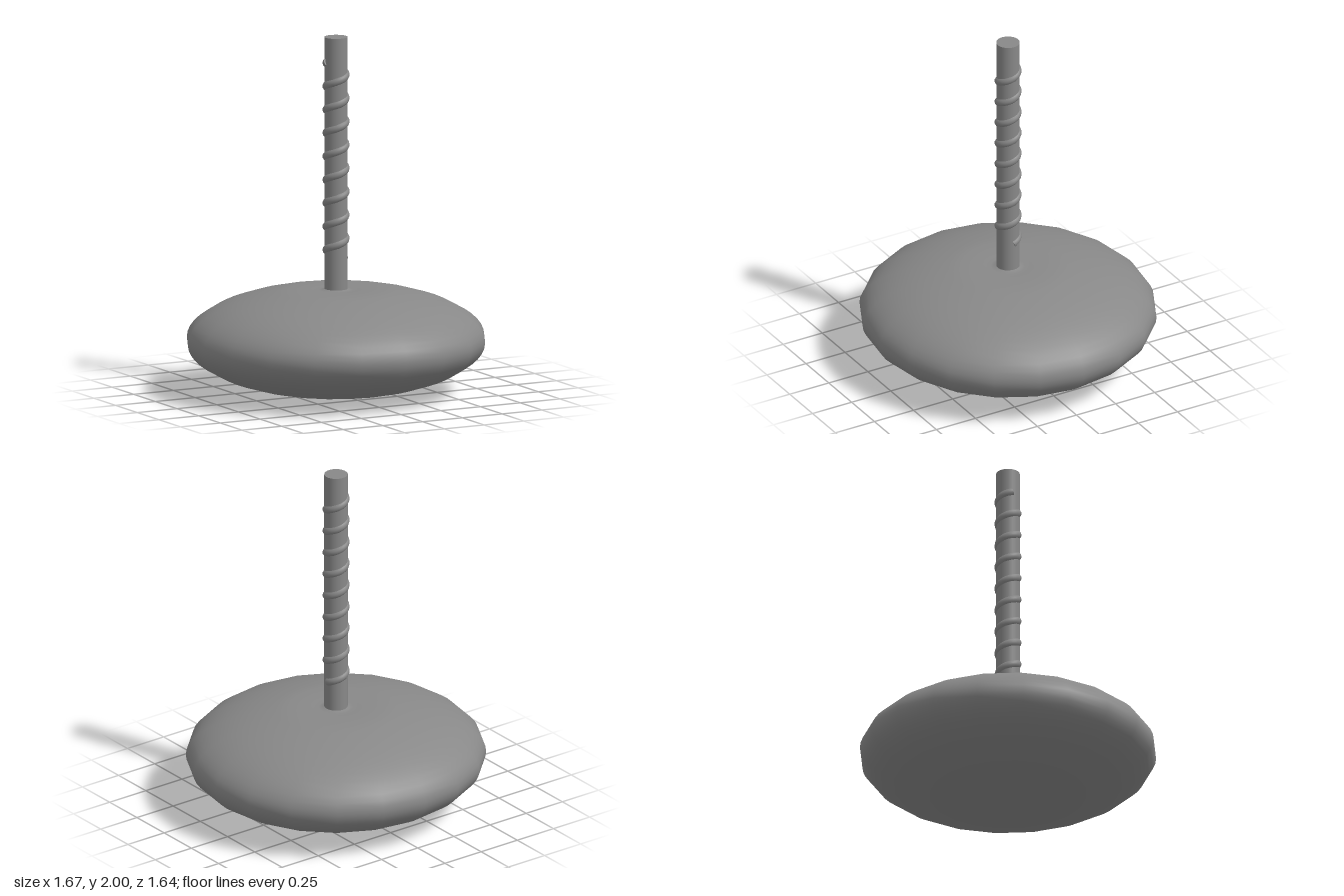
import * as THREE from 'three';

const ROD_RADIUS = 0.065;

// Rising spiral that starts at +x and ends at -x
class Helix extends THREE.Curve {
  constructor(radius, y0, y1, turns) {
    super();
    Object.assign(this, { radius, y0, y1, turns });
  }
  getPoint(t, target = new THREE.Vector3()) {
    const a = t * this.turns * Math.PI * 2;
    return target.set(
      this.radius * Math.cos(a),
      this.y0 + (this.y1 - this.y0) * t,
      -this.radius * Math.sin(a)
    );
  }
}

export function createModel() {
  const group = new THREE.Group();
  const grey = new THREE.MeshStandardMaterial({ color: 0x888888 });
  grey.name = 'grey';

  const add = (name, geometry) => {
    const mesh = new THREE.Mesh(geometry, grey);
    mesh.name = name;
    group.add(mesh);
    return mesh;
  };

  // Flattened round base: elliptical profile, flat top with a soft collar at the rod
  const profile = [];
  const rows = 27;
  for (let i = 0; i <= rows; i++) {
    const a = Math.PI * 0.9 * (i / rows);
    profile.push(new THREE.Vector2(Math.sin(a), 0.3 - 0.3 * Math.cos(a)));
  }
  profile.push(
    new THREE.Vector2(0.15, 0.584),
    new THREE.Vector2(0.115, 0.58),
    new THREE.Vector2(0.09, 0.584),
    new THREE.Vector2(0.07, 0.59)
  );
  const base = new THREE.LatheGeometry(profile, 20);
  base.scale(0.835, 1, 0.82);
  add('base', base);

  // Upright rod
  const rod = add('rod', new THREE.CylinderGeometry(ROD_RADIUS, ROD_RADIUS, 1.5, 32));
  rod.position.y = 1.25;

  // Raised spiral wound around the rod, with closed ends
  const helix = new Helix(0.05, 0.75, 1.865, 8.5);
  add('spiral', new THREE.TubeGeometry(helix, 272, 0.025, 12, false));
  for (const t of [0, 1]) {
    const end = add(t ? 'spiralTopEnd' : 'spiralBottomEnd', new THREE.CircleGeometry(0.025, 12));
    const outward = helix.getTangent(t).multiplyScalar(t ? 1 : -1);
    end.position.copy(helix.getPoint(t));
    end.quaternion.setFromUnitVectors(new THREE.Vector3(0, 0, 1), outward);
  }

  return group;
}
